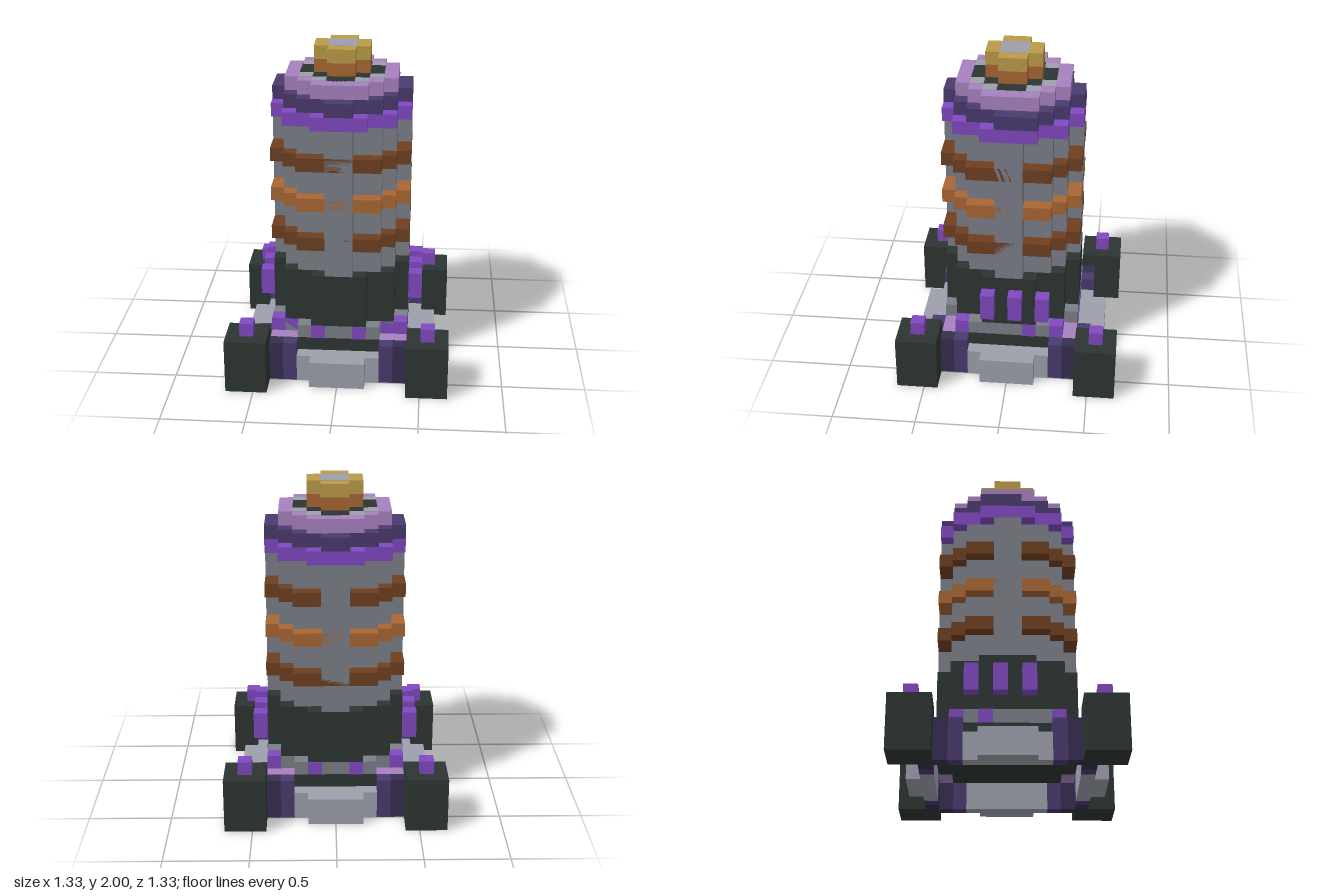
import * as THREE from 'three';

const U = 1 / 12; // one block of the building grid

const mat = (name, color) => {
  const m = new THREE.MeshStandardMaterial({ color });
  m.name = name;
  return m;
};

export function createModel() {
  const model = new THREE.Group();
  model.name = 'blockTower';

  const bodyGrey = mat('body grey', 0x7a7e87);
  const paleGrey = mat('pale grey', 0x9c9eab);
  const black = mat('greenish black', 0x2c3532);
  const purple = mat('bright purple', 0x8048c0);
  const darkPurple = mat('dark purple', 0x493a6e);
  const deepPurple = mat('deep purple', 0x362d4e);
  const lilac = mat('lilac', 0xa681bd);
  const brown = mat('brown', 0x6e3f21);
  const orange = mat('copper', 0xa86633);
  const gold = mat('gold', 0xba9a48);

  // Box from its limits in grid blocks
  function box(name, m, x0, x1, y0, y1, z0, z1) {
    const g = new THREE.BoxGeometry((x1 - x0) * U, (y1 - y0) * U, (z1 - z0) * U);
    const mesh = new THREE.Mesh(g, m);
    mesh.name = name;
    mesh.position.set((x0 + x1) / 2 * U, (y0 + y1) / 2 * U, (z0 + z1) / 2 * U);
    model.add(mesh);
  }

  // Stepped round slab: outer corners of one quarter, mirrored to all four
  function disc(name, m, corners, y0, y1) {
    const quarter = [];
    corners.forEach(([x, z], i) => {
      if (i > 0) quarter.push([x, corners[i - 1][1]]);
      quarter.push([x, z]);
    });
    const back = [...quarter].reverse();
    const outline = [
      ...quarter,
      ...back.map(([x, z]) => [-x, z]),
      ...quarter.map(([x, z]) => [-x, -z]),
      ...back.map(([x, z]) => [x, -z]),
    ];
    const shape = new THREE.Shape(outline.map(([x, z]) => new THREE.Vector2(x * U, z * U)));
    const g = new THREE.ExtrudeGeometry(shape, { depth: (y1 - y0) * U, bevelEnabled: false });
    g.rotateX(-Math.PI / 2);
    const mesh = new THREE.Mesh(g, m);
    mesh.name = name;
    mesh.position.y = y0 * U;
    model.add(mesh);
  }

  const slim = [[5, 1], [4, 3], [3, 4], [1, 5]];
  const wide = [[5, 2], [4, 4], [2, 5]];
  const band = [[5, 3], [4, 4], [3, 5]];
  const cross = [[2, 1], [1, 2]];

  // Raised floor and foundation
  disc('floor', black, [[5, 4], [3, 5]], 2, 3);
  disc('foundation', bodyGrey, band, 3, 4);
  disc('lowerDrum', black, wide, 4, 8);

  // Shaft with its bands
  disc('shaft', bodyGrey, slim, 8, 19);
  disc('lowerBand', brown, band, 10, 11);
  disc('middleBand', orange, band, 13, 14);
  disc('upperBand', brown, band, 16, 17);

  // Stepped crown
  disc('crownBase', purple, wide, 19, 20);
  disc('crownRing', darkPurple, slim, 20, 21);
  disc('crownTop', lilac, [[4, 2], [3, 3], [2, 4]], 21, 22);
  disc('crownInlay', paleGrey, [[3, 2], [2, 3]], 22, 22.03);
  disc('crownVent', black, [[3, 1], [2, 2], [1, 3]], 22, 22.06);
  disc('finialBase', orange, cross, 22, 23);
  disc('finial', gold, cross, 23, 23.97);
  disc('finialRim', gold, cross, 23.9, 23.98);
  box('finialCap', paleGrey, -1, 1, 23.95, 24, -1, 1);

  // Span of blocks mirrored by the sign s
  const span = (s, a, b) => (s > 0 ? [a, b] : [-b, -a]);

  for (const s of [-1, 1]) {
    // Outer plates on the four sides
    box('endPlate', paleGrey, -3, 3, 0, 2, ...span(s, 5, 6));
    box('endStep', paleGrey, -2, 2, 0, 2, ...span(s, 6, 7));
    box('sidePlate', paleGrey, ...span(s, 5, 6), 0, 2, -3, 3);
    box('sideStep', paleGrey, ...span(s, 6, 7), 0, 2, -2, 2);

    // Tall lamps on the sides of the drum
    for (const z of [-3, -1, 1]) box('sideLamp', purple, ...span(s, 5, 6), 5, 7, z, z + 1);
    box('crownRingStud', darkPurple, ...span(s, 4, 5), 20, 21, -2, -1);

    // Small lights let into the foundation
    for (const x of [-2, 1]) box('endLight', purple, x, x + 1, 3, 4, ...span(s, 4.5, 5.06));
    box('sideLight', purple, ...span(s, 4.5, 5.06), 3, 4, -2, -1);

    for (const t of [-1, 1]) {
      // Corner blocks with a lamp on top
      box('cornerBlock', black, ...span(s, 5, 8), 0, 4, ...span(t, 5, 8));
      box('cornerLamp', purple, ...span(s, 6, 7), 4, 5, ...span(t, 6, 7));

      // Posts joining plates and corner blocks
      box('endPost', darkPurple, ...span(s, 3, 4), 0, 3, ...span(t, 5, 6));
      box('endCornerPost', deepPurple, ...span(s, 4, 5), 0, 3, ...span(t, 5, 6));
      box('sidePost', darkPurple, ...span(s, 5, 6), 0, 3, ...span(t, 3, 4));
      box('sideCornerPost', deepPurple, ...span(s, 5, 6), 0, 3, ...span(t, 4, 5));

      // Stepped ledges behind the posts
      box('lowLedge', lilac, ...span(s, 3, 5), 2, 3, ...span(t, 4, 5));
      box('highLedge', purple, ...span(s, 3, 5), 3, 4, ...span(t, 3, 4));
    }
  }
  return model;
}
